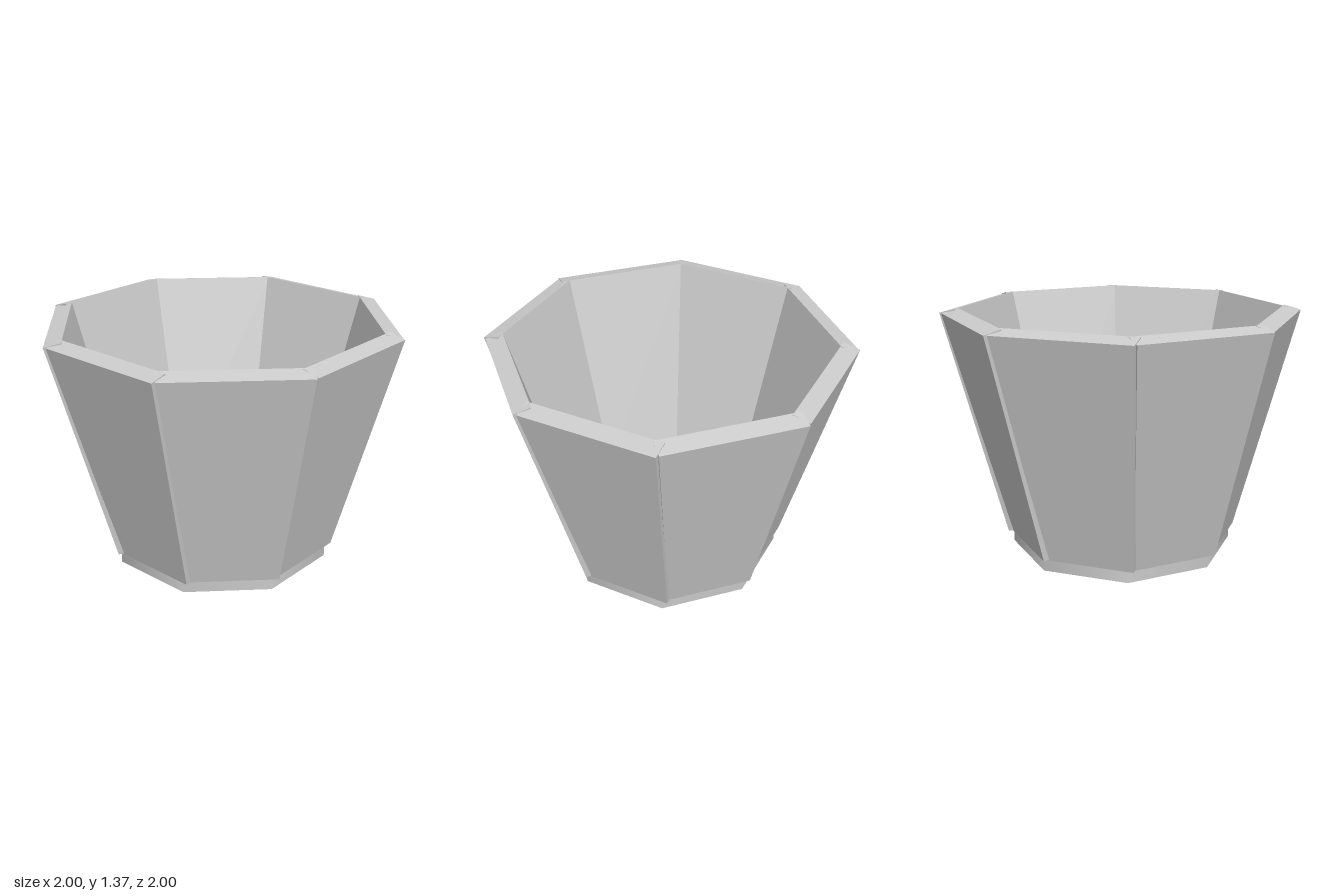
import * as THREE from 'three';

const SIDES = 8;
const material = new THREE.MeshStandardMaterial({ color: 0xcccccc });

// Tapered, outward leaning board with square-cut ends; outer face towards +z.
// Each level: height, outer distance from the axis, left end, right end.
function staveGeometry() {
  const bottom = { y: 0.07, z: 0.597, left: -0.21, right: 0.28 };
  const top = { y: 1.345, z: 0.922, left: -0.36, right: 0.389 };
  const inset = 0.093; // horizontal depth of the board
  const rise = inset * (top.z - bottom.z) / (top.y - bottom.y);

  const geometry = new THREE.BoxGeometry(1, 1, 1);
  const p = geometry.attributes.position;
  for (let i = 0; i < p.count; i++) {
    const level = p.getY(i) > 0 ? top : bottom;
    const inner = p.getZ(i) < 0;
    p.setXYZ(
      i,
      p.getX(i) > 0 ? level.right : level.left,
      level.y + (inner ? rise : 0),
      level.z - (inner ? inset : 0)
    );
  }
  geometry.computeVertexNormals();
  return geometry;
}

export function createModel() {
  const model = new THREE.Group();
  model.name = 'planter';

  // Octagonal base plate, corners on the axes
  const base = new THREE.Mesh(new THREE.CylinderGeometry(0.63, 0.63, 0.07, SIDES), material);
  base.name = 'basePlate';
  base.position.y = 0.035;
  model.add(base);

  // Ring of staves, each lapping over the end of the next
  const staves = new THREE.Group();
  staves.name = 'staves';
  const geometry = staveGeometry();
  for (let i = 0; i < SIDES; i++) {
    const stave = new THREE.Mesh(geometry, material);
    stave.name = `stave${i + 1}`;
    stave.rotation.y = ((i + 0.5) / SIDES) * Math.PI * 2;
    staves.add(stave);
  }
  model.add(staves);

  return model;
}
